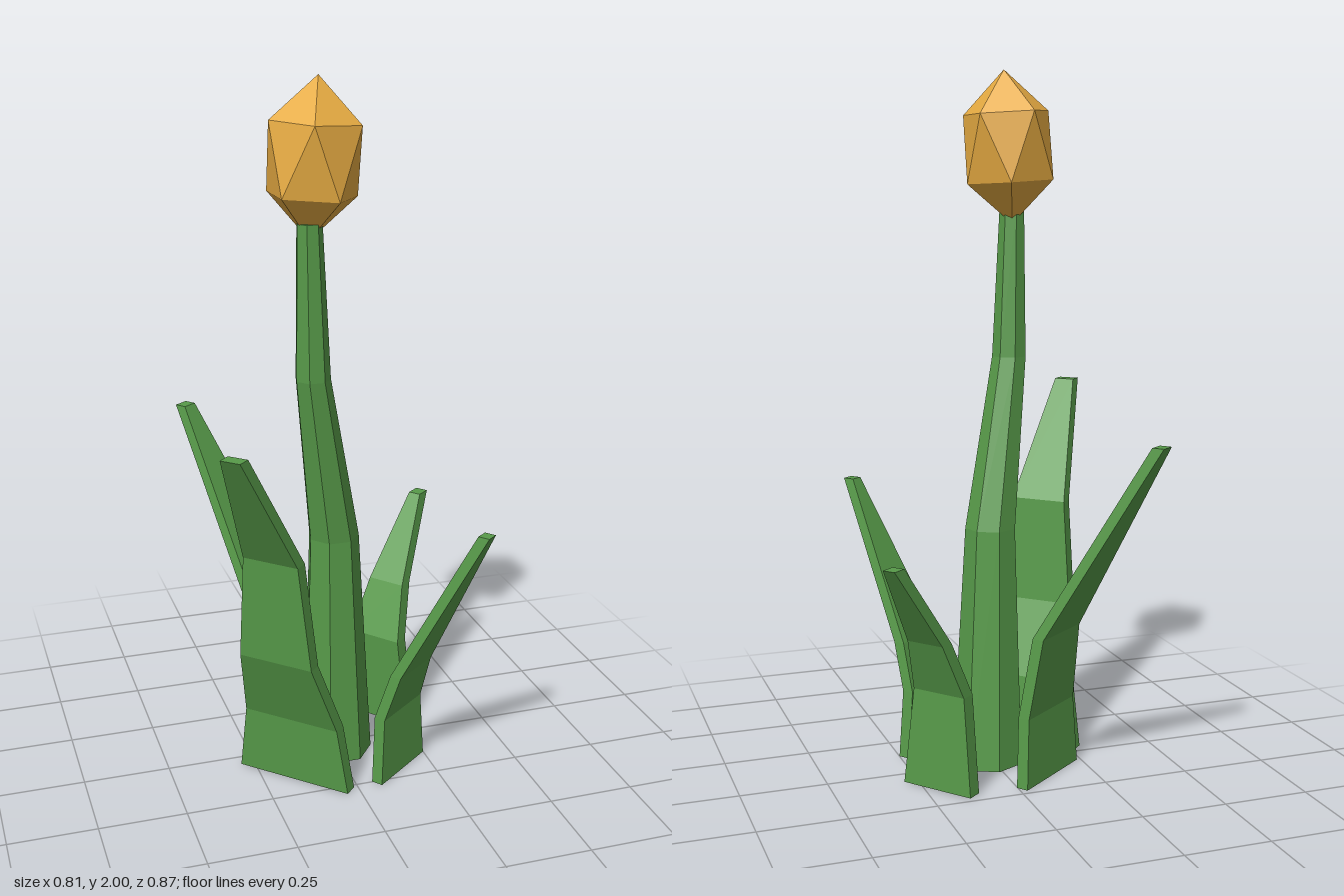
import * as THREE from 'three';

const green = new THREE.MeshStandardMaterial({ color: 0x579a49, flatShading: true });
const gold = new THREE.MeshStandardMaterial({ color: 0xe6ab42, flatShading: true });

// Calls move(vertex, row) for every vertex; row counts up from the bottom
function reshape(geometry, rows, move) {
  const pos = geometry.attributes.position;
  const v = new THREE.Vector3();
  for (let i = 0; i < pos.count; i++) {
    v.fromBufferAttribute(pos, i);
    move(v, Math.round((v.y + 0.5) * rows));
    pos.setXYZ(i, v.x, v.y, v.z);
  }
  geometry.computeVertexNormals();
  return geometry;
}

// Leaf: folded, tapering strip. Levels are [height, outward distance of the outer face, half width]
function makeLeaf({ name, dir, shift, thick, levels }) {
  const rows = levels.length - 1;
  const geometry = reshape(new THREE.BoxGeometry(1, 1, 1, 1, rows, 1), rows, (v, row) => {
    const [y, out, half] = levels[row];
    v.set(shift + v.x * 2 * half, y, out + (v.z - 0.5) * thick);
  });
  const leaf = new THREE.Mesh(geometry, green);
  leaf.name = name;
  leaf.rotation.y = Math.atan2(dir[0], dir[1]);
  return leaf;
}

const leaves = [
  { name: 'frontRightLeaf', dir: [-0.707, 0.707], shift: 0, thick: 0.04,
    levels: [[0, 0.233, 0.177], [0.2, 0.247, 0.148], [0.42, 0.332, 0.113], [0.73, 0.354, 0.085], [1.08, 0.55, 0.03]] },
  { name: 'backRightLeaf', dir: [-0.609, -0.793], shift: 0.012, thick: 0.035,
    levels: [[0, 0.196, 0.138], [0.2, 0.19, 0.122], [0.43, 0.222, 0.1], [0.99, 0.545, 0.023]] },
  { name: 'backLeftLeaf', dir: [0.78, -0.625], shift: -0.025, thick: 0.044,
    levels: [[0, 0.261, 0.112], [0.28, 0.25, 0.084], [0.44, 0.315, 0.058], [0.68, 0.479, 0.019]] },
  { name: 'frontLeftLeaf', dir: [0.614, 0.79], shift: 0, thick: 0.034,
    levels: [[0, 0.26, 0.114], [0.2, 0.256, 0.098], [0.34, 0.298, 0.083], [0.8, 0.53, 0.018]] },
];

// Stem: seven-sided, leaning and narrowing upwards. Levels are [x, y, z, radius]
function makeStem() {
  const levels = [[0.01, 0, 0.025, 0.105], [-0.005, 0.7, 0.04, 0.074], [-0.083, 1.19, 0.1, 0.05], [-0.093, 1.62, 0.105, 0.036]];
  const rows = levels.length - 1;
  const tube = new THREE.CylinderGeometry(1, 1, 1, 7, rows, false, Math.PI / 7);
  const stem = new THREE.Mesh(reshape(tube, rows, (v, row) => {
    const [x, y, z, r] = levels[row];
    v.set(x + v.x * r, y, z + v.z * r);
  }), green);
  stem.name = 'stem';
  return stem;
}

// Bud: stretched icosahedron standing on one corner
function makeBud() {
  const geometry = new THREE.IcosahedronGeometry(1, 0);
  geometry.rotateZ(Math.PI / 2 - Math.atan((1 + Math.sqrt(5)) / 2));
  geometry.scale(0.143, 0.215, 0.143);
  const bud = new THREE.Mesh(geometry, gold);
  bud.name = 'bud';
  bud.position.set(-0.075, 1.785, 0.09);
  bud.rotation.z = -0.06;
  return bud;
}

export function createModel() {
  const flower = new THREE.Group();
  flower.name = 'flower';
  flower.add(makeStem(), makeBud(), ...leaves.map(makeLeaf));
  return flower;
}
